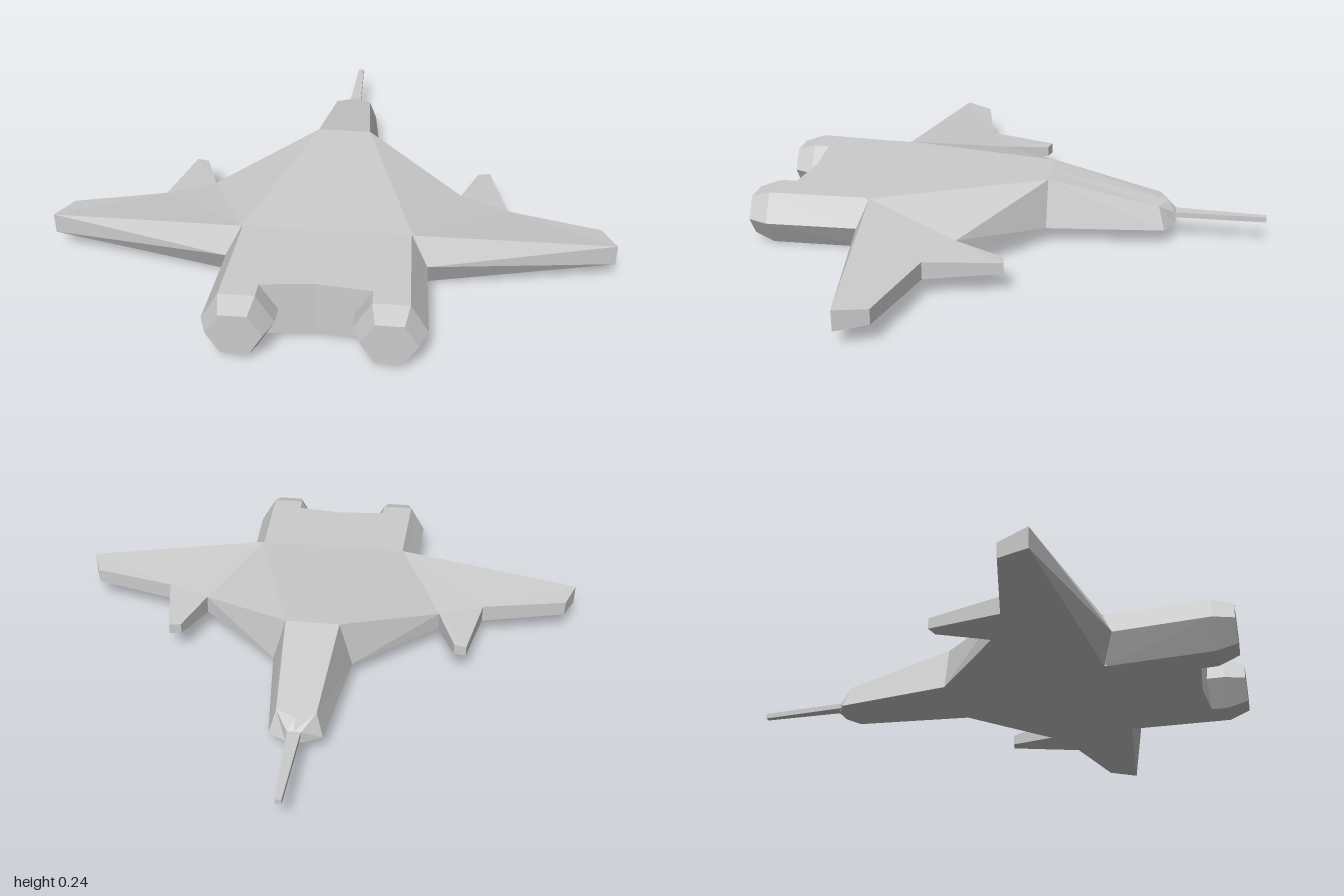
import * as THREE from 'three';

const material = new THREE.MeshStandardMaterial({ color: 0xcccccc, flatShading: true });

// Closed faceted solid from points and triangles; winding is turned outward by signed volume
function solid(name, points, tris) {
  const v = points.map((p) => new THREE.Vector3(...p));
  let volume = 0;
  for (const [a, b, c] of tris) volume += v[a].dot(v[b].clone().cross(v[c]));
  const pos = [];
  for (const [a, b, c] of tris) {
    for (const i of volume > 0 ? [a, b, c] : [a, c, b]) pos.push(v[i].x, v[i].y, v[i].z);
  }
  const geometry = new THREE.BufferGeometry();
  geometry.setAttribute('position', new THREE.Float32BufferAttribute(pos, 3));
  geometry.computeVertexNormals();
  const mesh = new THREE.Mesh(geometry, material);
  mesh.name = name;
  return mesh;
}

// Skin over rings with equal point counts, with both ends capped
function loft(name, rings) {
  const n = rings[0].length;
  const last = (rings.length - 1) * n;
  const tris = [];
  for (let r = 0; r < rings.length - 1; r++) {
    for (let i = 0; i < n; i++) {
      const a = r * n + i, b = r * n + ((i + 1) % n);
      tris.push([a, b, b + n], [a, b + n, a + n]);
    }
  }
  for (let i = 1; i < n - 1; i++) {
    tris.push([0, i + 1, i], [last, last + i, last + i + 1]);
  }
  return solid(name, rings.flat(), tris);
}

// Symmetric section: bottom centre, bottom corner, top corner, top centre
function section(bottom, top, bottomCentreZ = bottom[2], topCentreZ = top[2]) {
  const flip = ([x, y, z]) => [-x, y, z];
  return [
    [0, bottom[1], bottomCentreZ], bottom, top,
    [0, top[1], topCentreZ], flip(top), flip(bottom),
  ];
}

function wing(name, side) {
  // Outline: root front, notch, prong tip, inner corner, wing tip, root rear
  const upper = [
    [0.1, 0.24, -0.14], [0.46, 0.14, 0.13], [0.525, 0.125, -0.05], [0.57, 0.125, -0.06],
    [0.63, 0.135, 0.21], [0.955, 0.13, 0.29], [1, 0.14, 0.4], [0.295, 0.2, 0.49],
  ];
  const lower = [
    [0.15, 0.065, -0.14], [0.46, 0.07, 0.13], [0.525, 0.085, -0.05], [0.57, 0.085, -0.06],
    [0.63, 0.07, 0.21], [0.955, 0.075, 0.29], [1, 0.065, 0.4], [0.295, 0, 0.49],
  ];
  const rearMiddle = [0.35, 0.1, 0.53];
  const tris = [];
  for (const [a, b, c] of [[0, 1, 7], [1, 2, 3], [1, 3, 4], [1, 4, 7], [4, 5, 6], [4, 6, 7]]) {
    tris.push([a, b, c], [a + 8, c + 8, b + 8]);
  }
  // Edge band, then the pointed trailing face
  for (let i = 0; i < 8; i++) {
    if (i === 6) continue;
    const j = (i + 1) % 8;
    tris.push([j, i, i + 8], [j, i + 8, j + 8]);
  }
  tris.push([7, 6, 16], [6, 14, 16], [14, 15, 16], [15, 7, 16]);
  const points = [...upper, ...lower, rearMiddle].map(([x, y, z]) => [x * side, y, z]);
  return solid(name, points, tris);
}

function engine(name, side) {
  // Hexagonal ring; midZ is the depth of its side corners
  const ring = (cx, half, height, z, midZ = z) => [0, 1, 2, 3, 4, 5].map((i) => {
    const a = (i * Math.PI) / 3;
    return [side * (cx + half * Math.cos(a)), 0.1 + (height * Math.sin(a)) / Math.sin(Math.PI / 3), i % 3 ? z : midZ];
  });
  return loft(name, [
    ring(0.232, 0.117, 0.1, 0.49, 0.53),
    ring(0.245, 0.12, 0.1, 0.87),
    ring(0.245, 0.092, 0.075, 0.945),
  ]);
}

export function createModel() {
  const model = new THREE.Group();
  model.name = 'aircraft';

  // Body from the bevelled nose to the notched tail
  model.add(loft('fuselage', [
    section([0.03, 0.065, -0.612], [0.025, 0.11, -0.612]),
    section([0.095, 0.065, -0.575], [0.07, 0.15, -0.55], -0.6, -0.582),
    section([0.15, 0.065, -0.14], [0.1, 0.24, -0.14]),
    section([0.295, 0, 0.49], [0.295, 0.2, 0.49]),
    section([0.185, 0, 0.81], [0.185, 0.2, 0.81], 0.795, 0.79),
  ]));

  // Tapered probe on the nose
  const probe = (w, z) => [[-w, 0.09, z], [w, 0.09, z], [w, 0.11, z], [-w, 0.11, z]];
  model.add(loft('noseProbe', [probe(0.024, -0.6), probe(0.011, -0.945)]));

  for (const [label, side] of [['left', 1], ['right', -1]]) {
    model.add(wing(label + 'Wing', side), engine(label + 'Engine', side));
  }
  return model;
}
